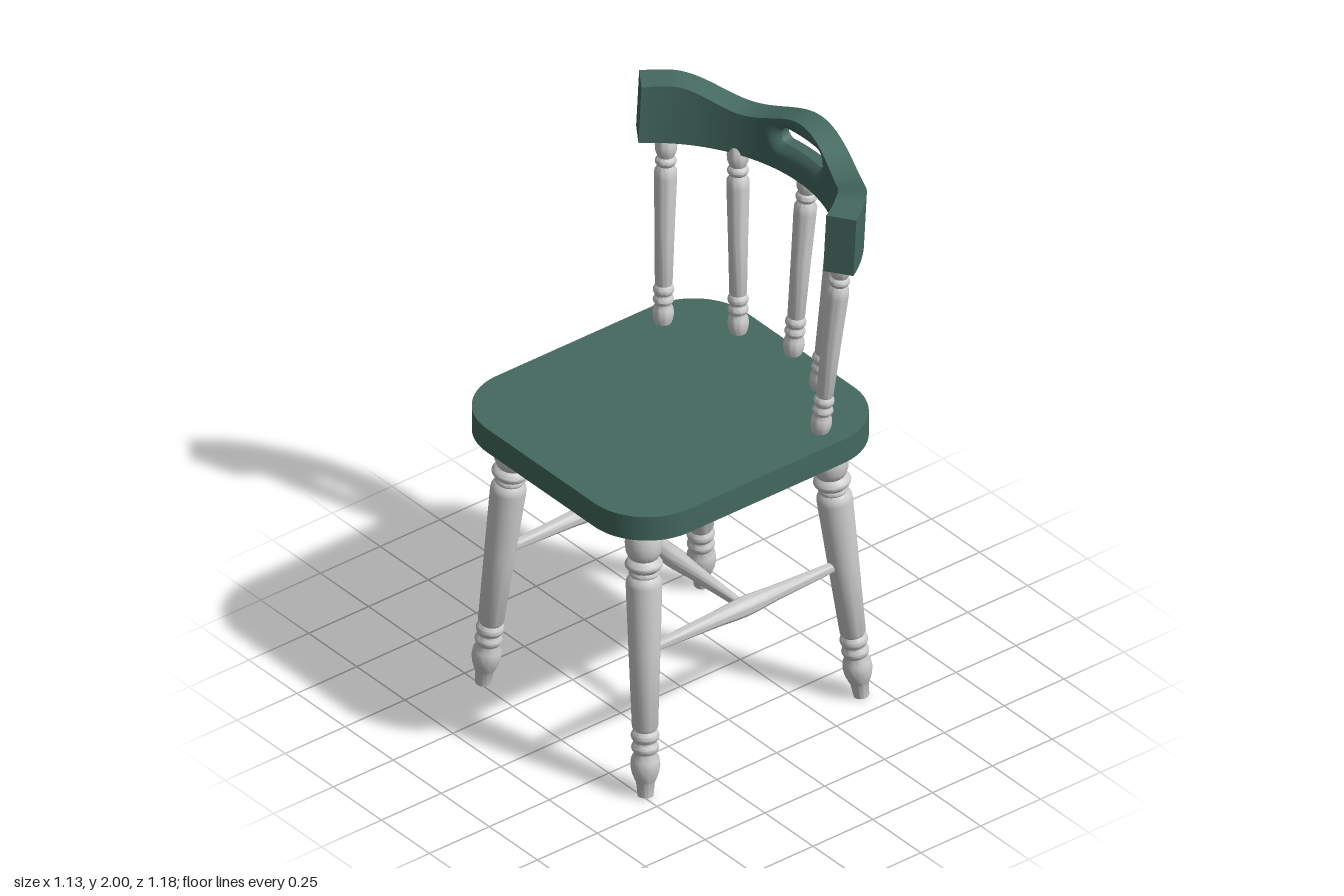
import * as THREE from 'three';
import { toCreasedNormals } from 'three/addons/utils/BufferGeometryUtils.js';
import { ParametricGeometry } from 'three/addons/geometries/ParametricGeometry.js';

const wood = new THREE.MeshStandardMaterial({ color: 0xcccccc });
const green = new THREE.MeshStandardMaterial({ color: 0x44695f });
const V = (x, y, z) => new THREE.Vector3(x, y, z);

// A rounded ring from y0 to y1, swelling from radius r0 to r1
function bead(y0, y1, r0, r1) {
  return Array.from({ length: 9 }, (_, i) => {
    const k = i / 8;
    return [r0 + (r1 - r0) * Math.sin(Math.PI * k), y0 + (y1 - y0) * k];
  });
}

// Turned part: a profile of [radius, height] pairs spun around the axis from a to b
function turned(name, profile, a, b) {
  const axis = b.clone().sub(a), y0 = profile[0][1], y1 = profile[profile.length - 1][1];
  const pts = profile.map(([r, y]) => new THREE.Vector2(r, (y - y0) / (y1 - y0) * axis.length()));
  pts.unshift(new THREE.Vector2(0, pts[0].y));
  pts.push(new THREE.Vector2(0, pts[pts.length - 1].y));
  const mesh = new THREE.Mesh(toCreasedNormals(new THREE.LatheGeometry(pts, 28), 0.75), wood);
  mesh.name = name;
  mesh.position.copy(a);
  mesh.quaternion.setFromUnitVectors(V(0, 1, 0), axis.normalize());
  return mesh;
}

const legProfile = [
  [0.026, 0], [0.031, 0.05], [0.036, 0.06], [0.045, 0.085], [0.049, 0.11], [0.047, 0.135], [0.037, 0.155],
  ...bead(0.158, 0.195, 0.037, 0.046), ...bead(0.198, 0.24, 0.037, 0.047),
  [0.043, 0.25], [0.052, 0.52], [0.06, 0.77], [0.058, 0.785], [0.048, 0.8],
  ...bead(0.802, 0.818, 0.046, 0.05), ...bead(0.82, 0.865, 0.046, 0.063),
  [0.05, 0.87], [0.059, 0.89], [0.062, 0.92], [0.059, 0.95], [0.05, 0.975], [0.044, 0.99], [0.042, 1.02]
];
const spindleProfile = [
  [0.026, 1.1], [0.033, 1.12], [0.036, 1.14], [0.033, 1.16], [0.027, 1.173],
  ...bead(1.175, 1.205, 0.027, 0.035), ...bead(1.208, 1.245, 0.027, 0.035),
  [0.029, 1.25], [0.033, 1.45], [0.038, 1.64], [0.037, 1.665], [0.028, 1.68],
  ...bead(1.682, 1.715, 0.027, 0.036), [0.028, 1.717], [0.035, 1.735], [0.037, 1.755], [0.033, 1.775], [0.028, 1.79]
];
const stretcherProfile = [[0.015, 0], [0.02, 0.15], [0.027, 0.36], [0.033, 0.46], [0.034, 0.5],
  [0.033, 0.54], [0.027, 0.64], [0.02, 0.85], [0.015, 1]];

// Seat: rounded board
function makeSeat() {
  const w = 0.5, z0 = -0.5, z1 = 0.585, r = 0.22, q = Math.PI / 2;
  const s = new THREE.Shape();
  s.absarc(w - r, -z0 - r, r, 0, q);
  s.absarc(r - w, -z0 - r, r, q, 2 * q);
  s.absarc(r - w, r - z1, r, 2 * q, 3 * q);
  s.absarc(w - r, r - z1, r, 3 * q, 4 * q);
  const g = new THREE.ExtrudeGeometry(s, { depth: 0.092, bevelEnabled: false, curveSegments: 16 });
  g.rotateX(-q).translate(0, 1.015, 0);
  const mesh = new THREE.Mesh(toCreasedNormals(g, 0.6), green);
  mesh.name = 'seat';
  return mesh;
}

// Crest rail: curved band with a wavy top and a hand hole, t runs -1..1 along it
function makeCrestRail() {
  const rail = new THREE.Group();
  rail.name = 'crestRail';
  const holeHalf = 0.118, holeR = 0.029, holeY = 1.892, straight = holeHalf - holeR;
  const top = t => {
    const a = Math.abs(t);
    return a < 0.42
      ? 1.925 + 0.06 * (0.5 + 0.5 * Math.cos(Math.PI * a / 0.42))
      : 1.925 + 0.075 * THREE.MathUtils.smoothstep(a, 0.42, 0.85);
  };
  const bottom = t => 1.768 + 0.02 * t * t;
  const hole = t => {
    const d = Math.max(0, Math.abs(0.63 * t) - straight);
    return Math.sqrt(Math.max(0, holeR * holeR - d * d));
  };
  // w = 0 on the front face, 1 on the back; faces ease inward around the hole
  const point = (t, y, w, p) => {
    const d = Math.hypot(Math.max(0, Math.abs(0.63 * t) - straight), y - holeY) - holeR;
    const k = THREE.MathUtils.clamp(1 - d / 0.045, 0, 1);
    const ww = w + (0.5 - w) * 0.55 * k * k;
    const ao = 1.003 * t, ai = 1.065 * t;
    p.set(
      THREE.MathUtils.lerp(0.549 * Math.sin(ai), 0.67 * Math.sin(ao), ww),
      y,
      THREE.MathUtils.lerp(0.044 - 0.549 * Math.cos(ai), 0.08 - 0.67 * Math.cos(ao), ww) - 0.012 * (y - 1.98) / -0.2 * -1
    );
  };
  const add = (name, f, nu, nv) => {
    const mesh = new THREE.Mesh(new ParametricGeometry(f, nu, nv), green);
    mesh.name = name;
    rail.add(mesh);
  };
  const upper = (t, v) => THREE.MathUtils.lerp(holeY + hole(t), top(t), v);
  const lower = (t, v) => THREE.MathUtils.lerp(bottom(t), holeY - hole(t), v);
  // front and back faces, above and below the hole line
  for (const [label, yAt] of [['Upper', upper], ['Lower', lower]]) {
    add('front' + label, (u, v, p) => point(2 * u - 1, yAt(2 * u - 1, v), 0, p), 160, 12);
    add('back' + label, (u, v, p) => point(1 - 2 * u, yAt(1 - 2 * u, v), 1, p), 160, 12);
  }
  // top and bottom edges
  add('topEdge', (u, v, p) => point(2 * u - 1, top(2 * u - 1), v, p), 160, 4);
  add('bottomEdge', (u, v, p) => point(1 - 2 * u, bottom(1 - 2 * u), v, p), 160, 4);
  // walls of the hand hole
  const tHole = holeHalf / 0.63;
  const holeT = u => -tHole * Math.cos(Math.PI * u);
  add('holeFloor', (u, v, p) => point(holeT(u), holeY - hole(holeT(u)), v, p), 40, 4);
  add('holeRoof', (u, v, p) => point(-holeT(u), holeY + hole(holeT(u)), v, p), 40, 4);
  // end faces
  const endY = v => THREE.MathUtils.lerp(bottom(1), top(1), v);
  add('leftEnd', (u, v, p) => point(1, endY(v), u, p), 1, 1);
  add('rightEnd', (u, v, p) => point(-1, endY(v), 1 - u, p), 1, 1);
  return rail;
}

export function createModel() {
  const chair = new THREE.Group();
  chair.name = 'chair';
  chair.add(makeSeat(), makeCrestRail());

  // Splayed legs: foot and top positions
  const legs = {
    frontLeftLeg: [V(0.428, 0, 0.49), V(0.33, 1.02, 0.42)],
    frontRightLeg: [V(-0.418, 0, 0.49), V(-0.33, 1.02, 0.42)],
    backLeftLeg: [V(0.412, 0, -0.425), V(0.34, 1.02, -0.335)],
    backRightLeg: [V(-0.418, 0, -0.425), V(-0.33, 1.02, -0.335)]
  };
  for (const [name, [foot, head]] of Object.entries(legs)) chair.add(turned(name, legProfile, foot, head));

  // H-shaped stretchers
  const x = 0.375, y = 0.52;
  chair.add(turned('leftStretcher', stretcherProfile, V(x, y, -0.385), V(x, y, 0.455)));
  chair.add(turned('rightStretcher', stretcherProfile, V(-x, y, -0.385), V(-x, y, 0.455)));
  chair.add(turned('middleStretcher', stretcherProfile, V(-x, y, 0.035), V(x, y, 0.035)));

  // Back spindles, fanned outward: [base x, base z, top x, top z]
  const spindles = [[0, -0.47, 0, -0.535], [0.21, -0.41, 0.267, -0.455], [0.408, -0.255, 0.457, -0.308]];
  for (const [bx, bz, tx, tz] of spindles) {
    for (const s of bx ? [1, -1] : [1]) {
      chair.add(turned('backSpindle', spindleProfile, V(s * bx, 1.1, bz), V(s * tx, 1.79, tz)));
    }
  }
  return chair;
}
